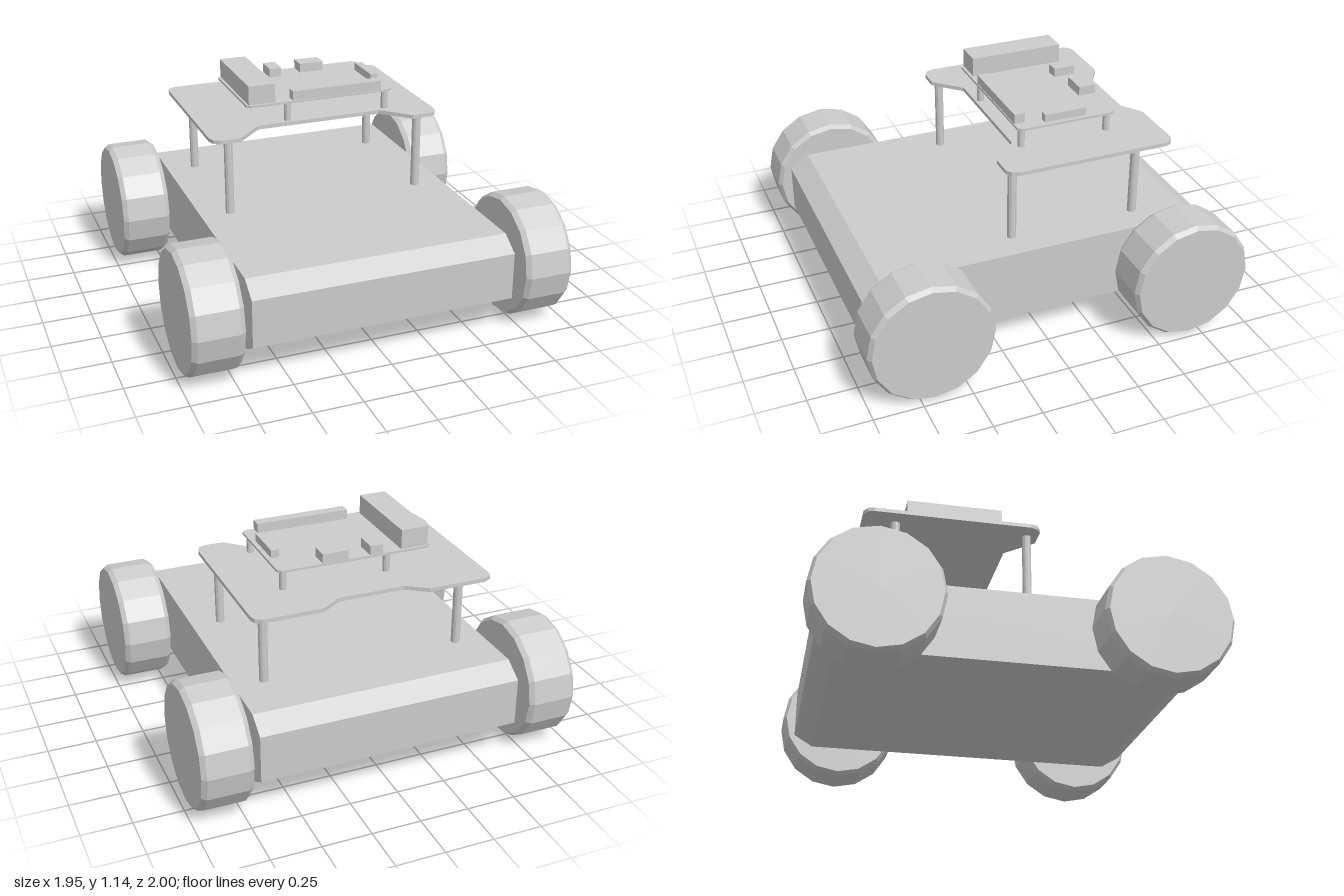
import * as THREE from 'three';

const material = new THREE.MeshStandardMaterial({ color: 0xcccccc, flatShading: true });

export function createModel() {
  const model = new THREE.Group();

  const add = (name, geometry, x = 0, y = 0, z = 0) => {
    const mesh = new THREE.Mesh(geometry, material);
    mesh.name = name;
    mesh.position.set(x, y, z);
    model.add(mesh);
    return mesh;
  };

  // Box given by its limits on each axis
  const block = (name, x0, x1, y0, y1, z0, z1) =>
    add(name, new THREE.BoxGeometry(x1 - x0, y1 - y0, z1 - z0),
      (x0 + x1) / 2, (y0 + y1) / 2, (z0 + z1) / 2);

  // Upright post from y0 to y1
  const post = (name, radius, x, y0, y1, z) =>
    add(name, new THREE.CylinderGeometry(radius, radius, y1 - y0, 12), x, (y0 + y1) / 2, z);

  // Flat sheet from an outline of [x, z] points
  const sheet = (name, outline, y0, y1) => {
    const shape = new THREE.Shape(outline.map(([x, z]) => new THREE.Vector2(x, -z)));
    const geometry = new THREE.ExtrudeGeometry(shape, { depth: y1 - y0, bevelEnabled: false });
    geometry.rotateX(-Math.PI / 2);
    return add(name, geometry, 0, y0, 0);
  };

  // Chassis: chamfered side profile extruded across the width
  const half = [[0.835, 0.14], [0.935, 0.2], [0.935, 0.445], [0.835, 0.512]];
  const profile = [...half, ...half.map(([z, y]) => [-z, y]).reverse()];
  const chassis = new THREE.ExtrudeGeometry(
    new THREE.Shape(profile.map(([z, y]) => new THREE.Vector2(-z, y))),
    { depth: 1.35, bevelEnabled: false });
  chassis.translate(0, 0, -0.675);
  chassis.rotateY(Math.PI / 2);
  add('chassis', chassis);

  // Wheels with chamfered rims, and their axles
  const rim = [[0, -0.127], [0.3, -0.127], [0.317, -0.103], [0.317, 0.103], [0.3, 0.127], [0, 0.127]];
  const wheel = new THREE.LatheGeometry(rim.map(([r, y]) => new THREE.Vector2(r, y)), 16);
  wheel.rotateZ(Math.PI / 2);
  const axle = new THREE.CylinderGeometry(0.08, 0.08, 0.14, 16);
  axle.rotateZ(Math.PI / 2);
  for (const sx of [-1, 1]) {
    for (const sz of [-1, 1]) {
      add('wheel', wheel, sx * 0.848, 0.322, sz * 0.683);
      add('axle', axle, sx * 0.7, 0.322, sz * 0.683);
    }
  }

  // Raised deck with notched front and back edges
  const side = [
    [0.17, -0.658], [0.275, -0.73], [0.575, -0.73], [0.61, -0.71], [0.62, -0.68],
    [0.62, 0.11], [0.607, 0.145], [0.575, 0.165], [0.47, 0.165], [0.335, 0.03],
  ];
  sheet('deck', [...side, ...side.map(([x, z]) => [-x, z]).reverse()].reverse(), 0.912, 0.932);
  for (const x of [-0.52, 0.52]) {
    for (const z of [-0.563, 0.107]) post('deckPost', 0.023, x, 0.5, 0.915, z);
  }

  // Circuit board with clipped corners on four standoffs
  const c = 0.02, [x0, x1, z0, z1] = [-0.39, 0.413, -0.497, 0.028];
  sheet('circuitBoard', [
    [x0, z1 - c], [x0 + c, z1], [x1 - c, z1], [x1, z1 - c],
    [x1, z0 + c], [x1 - c, z0], [x0 + c, z0], [x0, z0 + c],
  ], 1.03, 1.042);
  for (const x of [-0.165, 0.378]) {
    for (const z of [-0.465, 0]) post('standoff', 0.018, x, 0.93, 1.032, z);
  }

  // Components on the board
  block('largeConnector', -0.377, -0.235, 1.04, 1.142, -0.485, 0.013);
  block('frontHeader', -0.143, 0.348, 1.04, 1.092, -0.032, 0.024);
  block('sideHeader', 0.35, 0.39, 1.04, 1.083, -0.343, -0.122);
  block('smallSocket', -0.131, -0.065, 1.04, 1.09, -0.495, -0.38);
  block('wideSocket', 0.052, 0.185, 1.04, 1.09, -0.495, -0.405);

  return model;
}
